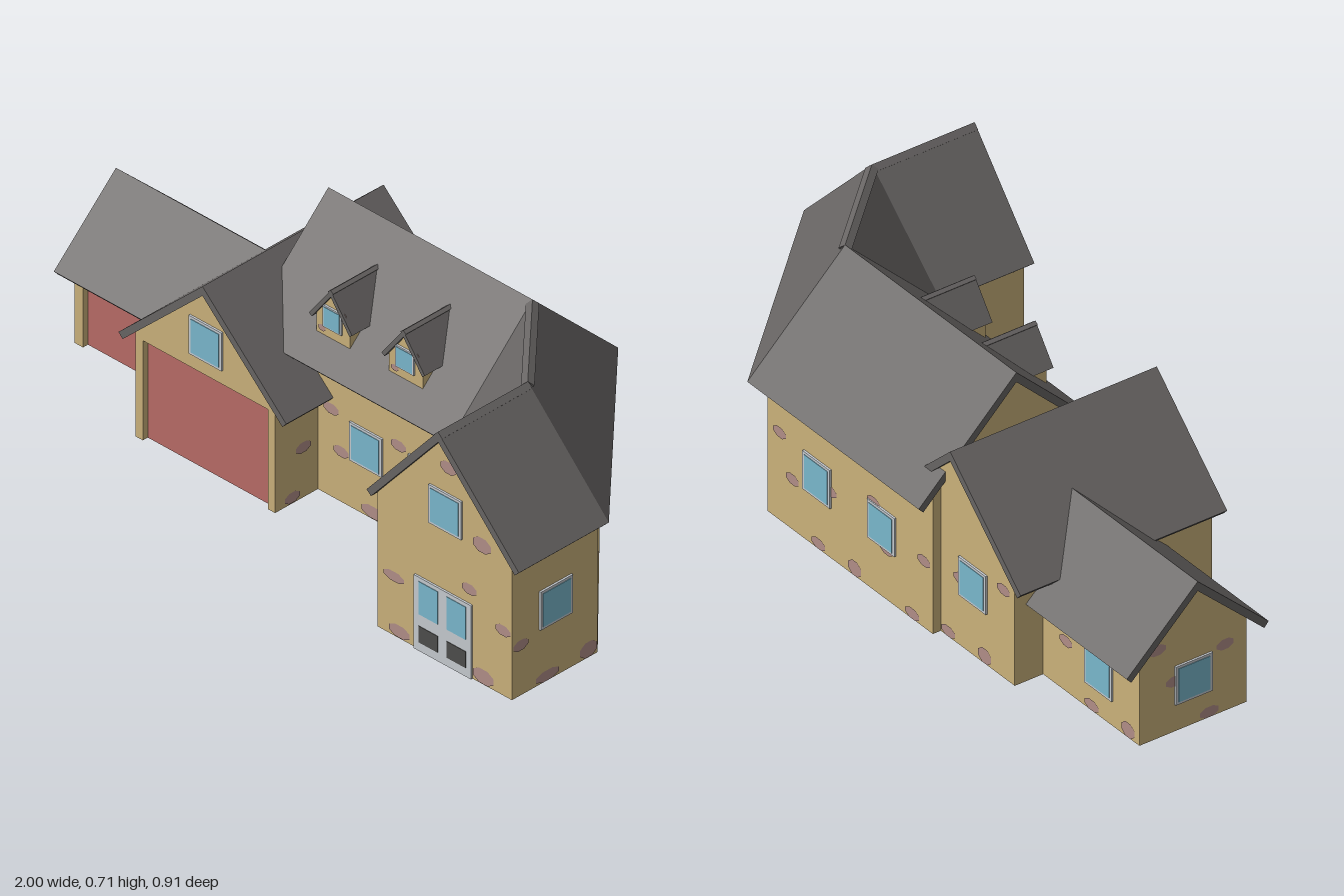
import * as THREE from 'three';

function mat(name, color, side = THREE.FrontSide) {
  const m = new THREE.MeshStandardMaterial({ color, side });
  m.name = name;
  return m;
}

export function createModel() {
  const house = new THREE.Group();
  house.name = 'house';
  const M = {
    wall: mat('tan wall', 0xcbb27b, THREE.DoubleSide),
    stone: mat('mauve stone', 0xb18e88),
    roof: mat('grey roof', 0x686564),
    door: mat('red garage door', 0xb96c67, THREE.DoubleSide),
    glass: mat('blue glass', 0x7ab8cd),
    frame: mat('pale frame', 0xc6cbd0),
    panel: mat('dark panel', 0x4e4e4c),
  };

  function add(parent, name, geo, material, x = 0, y = 0, z = 0) {
    const m = new THREE.Mesh(geo, material);
    m.name = name;
    m.position.set(x, y, z);
    parent.add(m);
    return m;
  }

  // Upright wall from a to b (left to right seen from outside); returns its local frame, +z outward
  function wall(name, a, b, height, { apex, door, base = 0 } = {}) {
    const g = new THREE.Group();
    g.name = name;
    const dx = b[0] - a[0], dz = b[1] - a[1], len = Math.hypot(dx, dz);
    g.position.set(a[0], 0, a[1]);
    g.rotation.y = Math.atan2(-dz, dx);
    const pts = [[0, base]];
    if (door) {
      const [l, r, h] = door;
      pts.push([l, 0], [l, h], [r, h], [r, 0]);
      add(g, 'garageDoor', new THREE.PlaneGeometry(r - l, h), M.door, (l + r) / 2, h / 2, -0.018);
      for (const x of [l - 0.004, r + 0.004])
        add(g, 'doorPost', new THREE.BoxGeometry(0.008, h, 0.02), M.wall, x, h / 2, -0.0105);
      add(g, 'doorLintel', new THREE.BoxGeometry(r - l, 0.008, 0.02), M.wall, (l + r) / 2, h + 0.004, -0.0105);
    }
    pts.push([len, base], [len, height]);
    if (apex) pts.push(apex);
    pts.push([0, height]);
    const shape = new THREE.Shape(pts.map(p => new THREE.Vector2(...p)));
    add(g, name + 'Surface', new THREE.ShapeGeometry(shape), M.wall);
    house.add(g);
    return g;
  }

  function windowAt(g, x, y, s = 0.117) {
    add(g, 'windowFrame', new THREE.BoxGeometry(s, s, 0.006), M.frame, x, y, 0.003);
    add(g, 'windowGlass', new THREE.BoxGeometry(s * 0.85, s * 0.87, 0.003), M.glass, x, y, 0.006);
  }

  // Flat stone patches
  function stones(g, list) {
    for (const [x, y, w = 0.029, h = 0.017] of list) {
      const m = add(g, 'stonePatch', new THREE.CircleGeometry(1, 8, Math.PI / 8), M.stone, x, y, 0.0025);
      m.scale.set(w, h, 1);
    }
  }
  function stoneRows(g, len, top = 0.3) {
    const tile = [[0.055, 0.27], [0.11, 0.155], [0.27, 0.205], [0.22, 0.018, 0.032], [0.375, 0.025, 0.03, 0.024]];
    const list = [];
    for (let o = 0; o < len; o += 0.4)
      for (const [x, y, w, h] of tile)
        if (x + o < len - 0.03 && y < top) list.push([x + o, y, w, h]);
    stones(g, list);
  }

  // Roof slab: flat outline (counter-clockwise from outside) thickened inward
  function slab(name, outline, t = 0.021) {
    const top = outline.map(p => new THREE.Vector3(...p));
    const n = new THREE.Vector3().crossVectors(
      top[1].clone().sub(top[0]), top[2].clone().sub(top[0])).normalize();
    const low = top.map(p => p.clone().addScaledVector(n, -t));
    const v = [];
    const tri = (...ps) => ps.forEach(p => v.push(p.x, p.y, p.z));
    top.forEach((p, i) => {
      const j = (i + 1) % top.length;
      if (i > 0 && j > 0) {
        tri(top[0], p, top[j]);
        tri(low[0], low[j], low[i]);
      }
      tri(p, low[i], low[j]);
      tri(p, low[j], top[j]);
    });
    const geo = new THREE.BufferGeometry();
    geo.setAttribute('position', new THREE.Float32BufferAttribute(v, 3));
    geo.computeVertexNormals();
    add(house, name, geo, M.roof);
  }

  // Low garage wing
  const lowFront = wall('lowGarageFront', [-0.98, 0.06], [-0.56, 0.06], 0.27, { door: [0.03, 0.4, 0.2] });
  lowFront.userData = {};
  const lowBack = wall('lowGarageBack', [-0.56, -0.28], [-0.98, -0.28], 0.27);
  windowAt(lowBack, 0.25, 0.135);
  stoneRows(lowBack, 0.42, 0.25);
  const lowEnd = wall('lowGarageEnd', [-0.98, -0.28], [-0.98, 0.06], 0.27, { apex: [0.17, 0.43] });
  windowAt(lowEnd, 0.17, 0.14);
  stoneRows(lowEnd, 0.34);
  slab('lowRoofFront', [[-1, 0.235, 0.115], [-0.5, 0.235, 0.115], [-0.45, 0.445, -0.11], [-1, 0.445, -0.11]]);
  slab('lowRoofBack', [[-0.45, 0.445, -0.11], [-0.5, 0.235, -0.335], [-1, 0.235, -0.335], [-1, 0.445, -0.11]]);

  // Gabled garage
  const midFront = wall('garageFront', [-0.57, 0.255], [-0.07, 0.255], 0.338,
    { apex: [0.255, 0.57], door: [0.027, 0.475, 0.305] });
  windowAt(midFront, 0.255, 0.407);
  const midRight = wall('garageRight', [-0.07, 0.255], [-0.07, 0.1], 0.338);
  stones(midRight, [[0.06, 0.27], [0.1, 0.155], [0.06, 0.02]]);
  const midBack = wall('garageBack', [-0.07, -0.37], [-0.57, -0.37], 0.338, { apex: [0.245, 0.57] });
  windowAt(midBack, 0.325, 0.215);
  stoneRows(midBack, 0.5);
  wall('garageLeft', [-0.57, -0.37], [-0.57, 0.255], 0.338);
  slab('garageRoofLeft', [[-0.615, 0.305, -0.385], [-0.615, 0.305, 0.27], [-0.315, 0.585, 0.27], [-0.315, 0.585, -0.385]]);
  slab('garageRoofRight', [[-0.315, 0.585, -0.385], [-0.315, 0.585, 0.27], [-0.015, 0.305, 0.27], [-0.015, 0.305, -0.385]]);

  // Main body
  const front = wall('mainFront', [-0.255, 0.1], [0.48, 0.1], 0.445);
  for (const x of [0.36, 0.57]) windowAt(front, x, 0.205);
  stones(front, [[0.235, 0.27], [0.27, 0.155], [0.695, 0.27, 0.04, 0.015], [0.385, 0.022, 0.045, 0.02],
    [0.68, 0.022, 0.045, 0.02], [0.475, 0.27]]);
  const back = wall('mainBack', [0.45, -0.395], [-0.255, -0.395], 0.445);
  for (const x of [0.215, 0.49]) windowAt(back, x, 0.212);
  stoneRows(back, 0.705);
  wall('mainEnd', [-0.255, -0.395], [-0.255, 0.1], 0.445, { apex: [0.25, 0.695] });
  const diagonal = wall('diagonalBack', [0.96, 0.13], [0.45, -0.395], 0.438);
  stoneRows(diagonal, 0.73);

  // Right wing
  const wing = wall('wingFront', [0.48, 0.44], [0.96, 0.44], 0.435, { apex: [0.23, 0.692] });
  windowAt(wing, 0.245, 0.467);
  stones(wing, [[0.06, 0.182, 0.04, 0.016], [0.375, 0.425, 0.035, 0.024], [0.255, 0.605, 0.03, 0.02],
    [0.33, 0.27], [0.38, 0.025, 0.04, 0.024], [0.01 + 0.07, 0.022, 0.04, 0.02], [0.45, 0.2]]);
  add(wing, 'doubleDoor', new THREE.BoxGeometry(0.205, 0.225, 0.006), M.frame, 0.237, 0.1125, 0.003);
  for (const x of [0.187, 0.287]) {
    add(wing, 'doorGlass', new THREE.BoxGeometry(0.068, 0.1, 0.003), M.glass, x, 0.163, 0.006);
    add(wing, 'doorPanel', new THREE.BoxGeometry(0.068, 0.05, 0.003), M.panel, x, 0.052, 0.006);
  }
  const wingRight = wall('wingRight', [0.96, 0.44], [0.96, 0.13], 0.438);
  windowAt(wingRight, 0.157, 0.227);
  stones(wingRight, [[0.03, 0.155], [0.127, 0.018, 0.045], [0.275, 0.026, 0.033, 0.025]]);
  const wingLeft = wall('wingLeft', [0.48, 0.1], [0.48, 0.44], 0.435);
  stones(wingLeft, [[0.1, 0.27], [0.2, 0.155], [0.12, 0.02]]);

  // Continuous main roof
  const E = 0.415, R = 0.71;
  slab('mainRoofFront', [[-0.275, E, 0.16], [0.455, E, 0.16], [0.455, R, -0.145], [-0.275, R, -0.145]]);
  slab('mainRoofBack', [[0.455, R, -0.145], [0.455, E, -0.455], [-0.275, E, -0.455], [-0.275, R, -0.145]]);
  slab('innerRoof', [[0.455, E, 0.16], [0.71, R, 0.13], [0.455, R, -0.145]]);
  slab('diagonalRoof', [[0.71, R, 0.13], [1, E, 0.13], [0.455, E, -0.455], [0.455, R, -0.145]]);
  slab('wingRoofLeft', [[0.455, E, 0.16], [0.455, E, 0.455], [0.71, R, 0.455], [0.71, R, 0.13]]);
  slab('wingRoofRight', [[0.71, R, 0.13], [0.71, R, 0.455], [1, E, 0.455], [1, E, 0.13]]);

  // Dormers
  for (const x of [-0.02, 0.24]) {
    const w = 0.06;
    const face = wall('dormerFront', [x - w, 0.095], [x + w, 0.095], 0.545, { apex: [w, 0.622], base: 0.475 });
    windowAt(face, w, 0.54, 0.066);
    stones(face, [[0.022, 0.498, 0.014, 0.01], [0.1, 0.57, 0.01, 0.008]]);
    wall('dormerCheek', [x + w, 0.095], [x + w, 0.03], 0.545, { base: 0.475 });
    wall('dormerCheek', [x - w, 0.03], [x - w, 0.095], 0.545, { base: 0.475 });
    slab('dormerRoofLeft', [[x - 0.077, 0.53, 0.03], [x - 0.077, 0.53, 0.105], [x, 0.633, 0.105], [x, 0.633, -0.066]], 0.012);
    slab('dormerRoofRight', [[x, 0.633, -0.066], [x, 0.633, 0.105], [x + 0.077, 0.53, 0.105], [x + 0.077, 0.53, 0.03]], 0.012);
  }

  return house;
}
